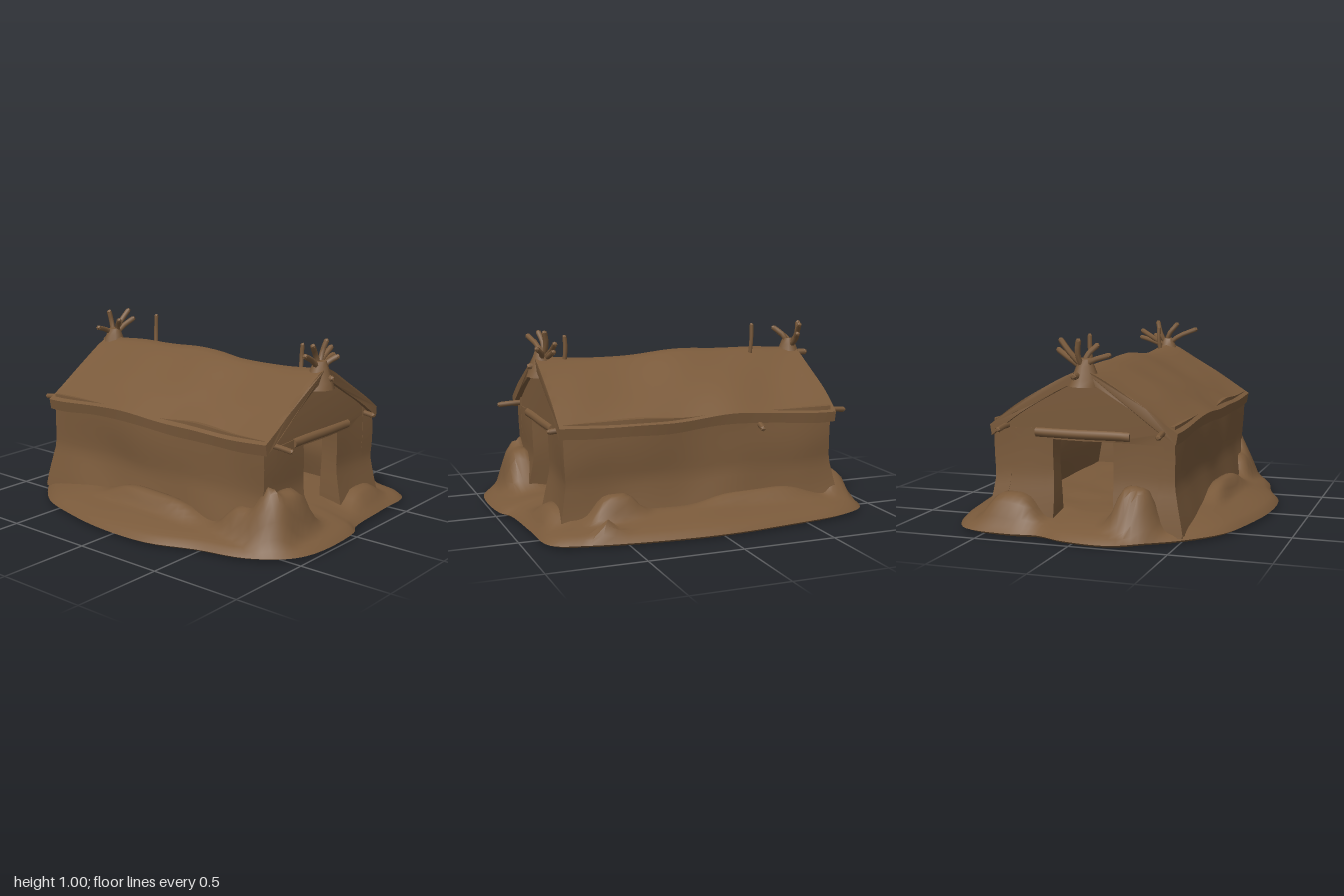
import * as THREE from 'three';
import { toCreasedNormals } from 'three/addons/utils/BufferGeometryUtils.js';

const V = (x, y, z) => new THREE.Vector3(x, y, z);

// Smooth repeatable bumps used to roughen clay and thatch
const wave = (a, b, c) =>
  Math.sin(a * 9.1 + b * 5.3 + 1) * 0.5 + Math.sin(b * 13.7 - c * 8.9 + 2) * 0.3 + Math.sin(c * 17.3 + a * 14.1) * 0.3;

function rough(geo, amp, rule) {
  const p = geo.attributes.position;
  const v = new THREE.Vector3();
  for (let i = 0; i < p.count; i++) {
    v.fromBufferAttribute(p, i);
    const { x, y, z } = v;
    if (rule) rule(v);
    v.x += amp * wave(y, z, x);
    v.y += amp * wave(z, x, y);
    v.z += amp * wave(x, y, z);
    p.setXYZ(i, v.x, v.y, v.z);
  }
  return toCreasedNormals(geo, 0.8);
}

// Earth heaps: x, z, height, radius in x, radius in z
const heaps = [
  [-0.33, 0.79, 0.2, 0.15, 0.09], [-0.48, 0.68, 0.12, 0.07, 0.16],
  [-0.28, -0.8, 0.19, 0.11, 0.09], [0.38, -0.8, 0.12, 0.14, 0.08],
  [0.54, 0.5, 0.1, 0.06, 0.12], [0.7, 0.6, 0.07, 0.035, 0.05],
  [0.36, 0.79, 0.06, 0.14, 0.07], [-0.52, 0.05, 0.07, 0.06, 0.3],
  [0.52, -0.3, 0.05, 0.05, 0.3],
];

// Ground slab from scaled loops of an irregular outline
function groundGeometry() {
  const outline = [
    [-0.2, -1], [0.05, -0.98], [0.2, -0.92], [0.35, -0.935], [0.6, -0.89], [0.7, -0.73], [0.76, -0.4],
    [0.8, 0], [0.78, 0.4], [0.73, 0.7], [0.66, 0.88], [0.4, 0.91], [0.08, 0.94], [0, 0.98], [-0.35, 0.99],
    [-0.5, 0.93], [-0.63, 0.76], [-0.7, 0.5], [-0.79, 0.25], [-0.8, -0.05], [-0.75, -0.35], [-0.67, -0.6],
    [-0.5, -0.8], [-0.36, -0.9],
  ].map(([x, z]) => V(x, 0, z));
  const n = 120;
  const rim = new THREE.CatmullRomCurve3(outline, true, 'centripetal').getPoints(n).slice(0, n);
  const top = (x, z, t) => {
    const u = Math.min(1, (1 - t) / 0.3);
    let y = 0.022 + 0.09 * Math.pow(u, 0.55) + 0.006 * wave(x, z, t) * u;
    for (const [hx, hz, h, rx, rz] of heaps) {
      y += h * Math.min(1, u * 4) * Math.exp(-(((x - hx) / rx) ** 4) - ((z - hz) / rz) ** 4);
    }
    return y;
  };
  // Rows: underside centre, underside edge, rim, then up and inwards
  const rows = [[0, 0], [0.96, 0]];
  for (let i = 0; i <= 36; i++) rows.push([1 - i / 36, 1]);
  const pos = [], idx = [];
  for (const [t, up] of rows) {
    for (const p of rim) pos.push(p.x * t, up ? top(p.x * t, p.z * t, t) : 0.004, p.z * t);
  }
  for (let r = 0; r < rows.length - 1; r++) {
    for (let i = 0; i < n; i++) {
      const a = r * n + i, b = r * n + (i + 1) % n, c = a + n, d = b + n;
      idx.push(a, b, c, b, d, c);
    }
  }
  // The outline runs clockwise seen from below, so reverse each face
  for (let i = 0; i < idx.length; i += 3) [idx[i + 1], idx[i + 2]] = [idx[i + 2], idx[i + 1]];
  const g = new THREE.BufferGeometry();
  g.setAttribute('position', new THREE.Float32BufferAttribute(pos, 3));
  g.setIndex(idx);
  return toCreasedNormals(g, 0.9);
}

// Curved roof section swept along z
const roofTop = x => 0.85 - 0.29 * Math.pow(Math.abs(x) / 0.5, 1.2);
function roofGeometry() {
  const shape = new THREE.Shape();
  const xs = Array.from({ length: 25 }, (_, i) => -0.5 + i / 24);
  xs.forEach((x, i) => (i ? shape.lineTo(x, roofTop(x)) : shape.moveTo(x, roofTop(x))));
  [...xs].reverse().forEach(x => shape.lineTo(x * 0.98, roofTop(x) - 0.055));
  const g = new THREE.ExtrudeGeometry(shape, { depth: 1.55, steps: 40, bevelEnabled: false });
  g.translate(0.01, 0, -0.775);
  return rough(g, 0.008, v => { v.y += 0.012 * Math.sin(v.z * 5.5 + 2.6); });
}

// Gable panel above the door
function gableGeometry() {
  const s = new THREE.Shape();
  s.moveTo(-0.47, 0.47);
  for (let i = 0; i <= 16; i++) {
    const x = -0.47 + i * 0.94 / 16;
    s.lineTo(x, roofTop(x) - 0.03);
  }
  s.lineTo(0.47, 0.47);
  for (let i = 1; i < 12; i++) s.lineTo(0.47 - i * 0.94 / 12, 0.48);
  const g = new THREE.ExtrudeGeometry(s, { depth: 0.1, steps: 2, bevelEnabled: false });
  g.translate(0.01, 0, -0.05);
  return g;
}

export function createModel() {
  const clay = new THREE.MeshStandardMaterial({ color: 0x7a5a3b, side: THREE.DoubleSide });
  clay.name = 'brown clay';
  const house = new THREE.Group();
  house.name = 'hut';
  const add = (name, geo) => {
    const m = new THREE.Mesh(geo, clay);
    m.name = name;
    house.add(m);
    return m;
  };
  const box = (w, h, d, x, y, z) =>
    new THREE.BoxGeometry(w, h, d, Math.ceil(w / 0.04), Math.ceil(h / 0.04), Math.ceil(d / 0.04)).translate(x, y, z);
  // Tapered bent stick
  const stick = (name, from, to, r = 0.014, bend = 0.015) => {
    const mid = from.clone().lerp(to, 0.55).add(V(bend, bend, -bend));
    const g = new THREE.TubeGeometry(new THREE.CatmullRomCurve3([from, mid, to]), 6, r, 6);
    add(name, g);
    add(name + 'Tip', new THREE.IcosahedronGeometry(r, 0).translate(to.x, to.y, to.z));
  };

  add('ground', groundGeometry());
  add('roof', roofGeometry());

  // Long walls, flared outwards at the foot
  const flare = v => {
    const f = Math.max(0, 0.28 - v.y) * 0.18;
    v.x += Math.sign(v.x) * f * (Math.abs(v.x) > 0.4 ? 1 : 0);
    if (Math.abs(v.z) > 0.7) v.z += Math.sign(v.z) * f;
  };
  add('leftWall', rough(box(0.09, 0.54, 1.5, 0.45, 0.31, 0), 0.011, flare));
  add('rightWall', rough(box(0.09, 0.54, 1.5, -0.425, 0.31, 0), 0.011, flare));

  // End walls, each with a doorway, gable and lintel
  for (const s of [1, -1]) {
    const end = s > 0 ? 'front' : 'back';
    const z = s * 0.7;
    add(end + 'LeftPier', rough(box(0.32, 0.5, 0.1, 0.33, 0.28, z), 0.008, flare));
    add(end + 'RightPier', rough(box(0.32, 0.5, 0.1, -0.305, 0.28, z), 0.008, flare));
    add(end + 'Gable', rough(gableGeometry().translate(0, 0, z), 0.006));
    add(end + 'Lintel', rough(
      new THREE.CylinderGeometry(0.025, 0.025, 0.5, 10, 10).rotateZ(Math.PI / 2).translate(0.015, 0.512, s * 0.745), 0.004));

    // Bound thatch where the crossed poles meet
    add(end + 'RidgeKnot', rough(
      new THREE.CylinderGeometry(0.03, 0.085, 0.14, 10, 4).translate(0.01, 0.82, s * 0.735), 0.008));
    const tips = s > 0
      ? [[-0.16, 0.95, 0.76], [-0.05, 0.98, 0.73], [0.07, 0.99, 0.73], [0.16, 0.94, 0.7], [0.1, 0.91, 0.78]]
      : [[-0.12, 0.91, -0.74], [-0.03, 0.95, -0.66], [0.13, 0.98, -0.74], [0.02, 0.98, -0.79], [0.15, 0.93, -0.72]];
    tips.forEach(([x, y, tz], i) =>
      stick(end + 'RidgePole' + (i + 1), V(0.01 - x * 0.25, 0.81, s * 0.735), V(x, y, tz), 0.015));

    // Eave poles poking past the walls
    stick(end + 'RightEavePole', V(-0.41, 0.54, s * 0.68), V(-0.415, 0.535, s * 0.87), 0.015, 0.004);
    stick(end + 'LeftEavePole', V(0.42, 0.54, s * 0.68), V(0.42, 0.535, s * (s > 0 ? 0.81 : 0.87)), 0.015, 0.004);
  }

  // Loose sticks on the ridge and wall
  stick('frontRidgeTwig', V(0.02, 0.82, 0.61), V(0.03, 0.96, 0.61), 0.012, 0.004);
  stick('backRidgeTwig', V(0.07, 0.8, -0.46), V(0.08, 0.985, -0.465), 0.012, 0.003);
  stick('ridgeCrossTwig', V(0.05, 0.86, 0.71), V(0.17, 0.9, 0.71), 0.014, 0.005);
  stick('wallPeg', V(0.45, 0.51, -0.32), V(0.54, 0.49, -0.32), 0.016, 0.003);
  stick('frontRidgeBeam', V(0.01, 0.8, 0.6), V(0.02, 0.81, 0.8), 0.018, 0.003);
  stick('backRidgeBeam', V(0.01, 0.8, -0.6), V(0.03, 0.81, -0.83), 0.018, 0.003);
  return house;
}
